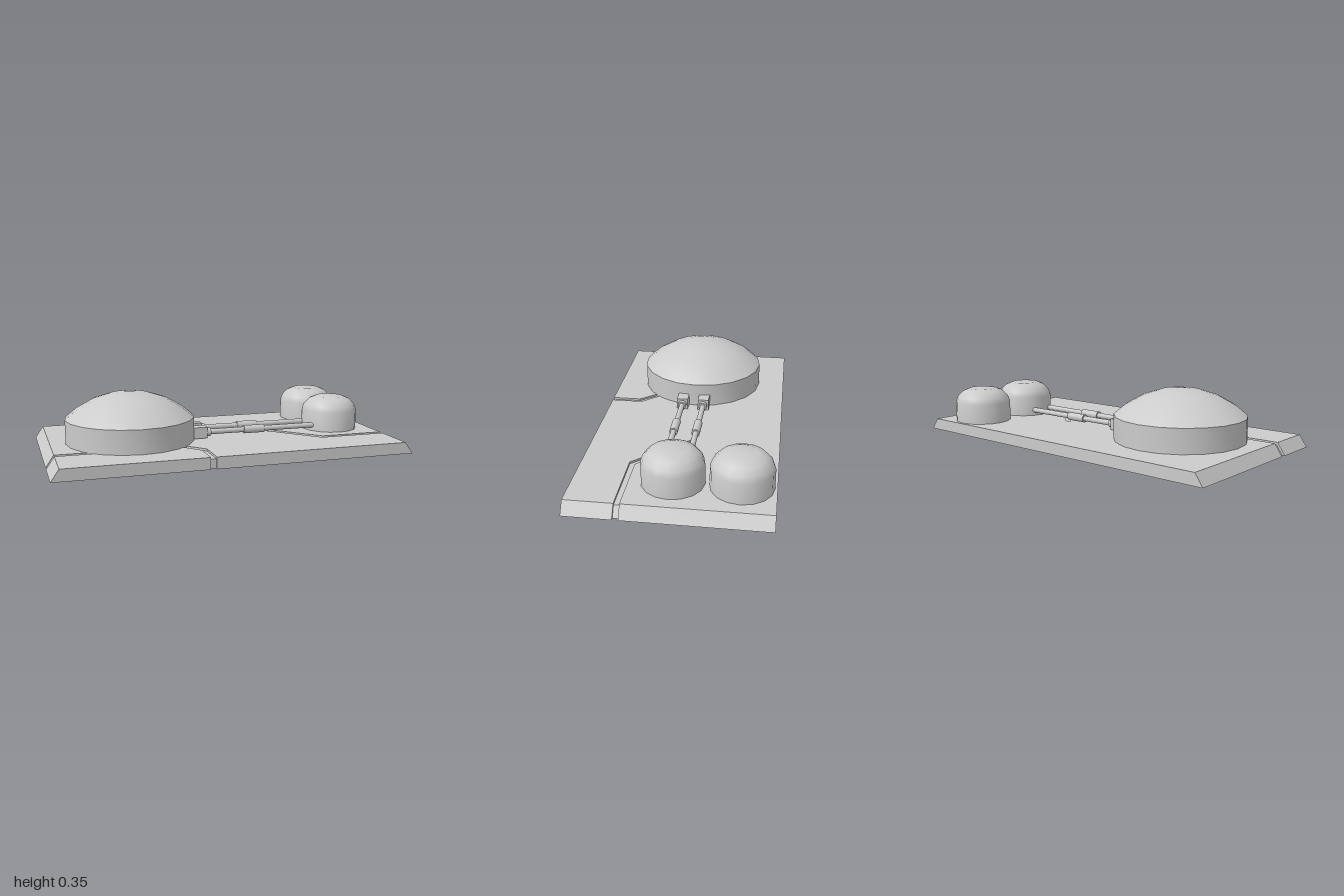
import * as THREE from 'three';
import { toCreasedNormals } from 'three/addons/utils/BufferGeometryUtils.js';

const TOP = 0.066;
const material = new THREE.MeshStandardMaterial({ color: 0xcccccc });

function add(parent, name, geometry, x = 0, y = 0, z = 0) {
  const mesh = new THREE.Mesh(geometry, material);
  mesh.name = name;
  mesh.position.set(x, y, z);
  parent.add(mesh);
  return mesh;
}

// Extrudes a plan outline of [x, z] points upward, leaning in its two x ends
function slab(outline, height, endX, lean) {
  const shape = new THREE.Shape(outline.map(([x, z]) => new THREE.Vector2(x, -z)));
  const geometry = new THREE.ExtrudeGeometry(shape, { depth: height, bevelEnabled: false });
  geometry.rotateX(-Math.PI / 2);
  const p = geometry.attributes.position;
  for (let i = 0; i < p.count; i++) {
    const x = p.getX(i);
    if (p.getY(i) > height / 2 && Math.abs(x) > endX - 0.001) {
      p.setX(i, Math.sign(x) * (endX - lean));
    }
  }
  return toCreasedNormals(geometry, 0.2);
}

function dome(profile, sides) {
  const points = profile.map(([r, y]) => new THREE.Vector2(r, y));
  return toCreasedNormals(new THREE.LatheGeometry(points, sides), 0.6);
}

// Round bar along x between two positions
function bar(parent, name, x0, x1, radius, y, z) {
  const geometry = new THREE.CylinderGeometry(radius, radius, x1 - x0, 12);
  geometry.rotateZ(Math.PI / 2);
  add(parent, name, geometry, (x0 + x1) / 2, y, z);
}

export function createModel() {
  const model = new THREE.Group();
  model.name = 'storagePlant';

  // Base: a panel cut by three channels, with a core that forms their floors
  const base = new THREE.Group();
  base.name = 'base';
  model.add(base);
  add(base, 'basePanel', slab([
    [-1, 0.52], [-1, 0.263], [-0.5, 0.263], [-0.5, 0.233], [-1, 0.233],
    [-1, -0.52], [1, -0.52],
    [1, 0.233], [0.583, 0.233], [0.31, -0.05], [0.267, -0.05], [0.566, 0.263], [1, 0.263],
    [1, 0.52],
    [-0.152, 0.52], [-0.152, 0.34], [-0.262, 0.22], [-0.284, 0.24], [-0.184, 0.355], [-0.184, 0.52],
  ], TOP, 1, 0.045));
  add(base, 'channelFloor', slab([
    [-0.985, 0.508], [-0.985, -0.508], [0.985, -0.508], [0.985, 0.508],
  ], 0.054, 0.985, 0.037));

  // Large tank: short wall under a spherical cap
  const radius = 0.363, rim = 0.2, peak = 0.347;
  const rise = peak - rim;
  const sphere = (radius * radius + rise * rise) / (2 * rise);
  const capRings = [radius, 0.3, 0.21, 0.11, 0].map(
    (r) => [r, Math.sqrt(sphere * sphere - r * r) - sphere + peak]);
  add(model, 'largeDomeTank', dome([[radius, TOP - 0.02], ...capRings], 20), -0.507, 0, 0);

  // Two small tanks with rounded shoulders and flat tops
  for (const z of [0.007, -0.343]) {
    add(model, 'smallTank', dome([
      [0.164, TOP - 0.02], [0.164, 0.18], [0.152, 0.212], [0.122, 0.244], [0.08, 0.261], [0, 0.261],
    ], 16), 0.725, 0, z);
  }

  // Twin pipes linking the large tank to the front small tank
  for (const z of [-0.05, 0.075]) {
    const pipe = new THREE.Group();
    pipe.name = 'pipeLine';
    model.add(pipe);
    add(pipe, 'pipeConnector', new THREE.BoxGeometry(0.12, 0.064, 0.064), -0.14, 0.102, z);
    bar(pipe, 'pipeCollar', -0.082, -0.055, 0.025, 0.1, z);
    bar(pipe, 'pipe', -0.06, 0.62, 0.016, 0.1, z);
    bar(pipe, 'pipeCoupling', 0.148, 0.272, 0.024, 0.1, z);
  }
  return model;
}
